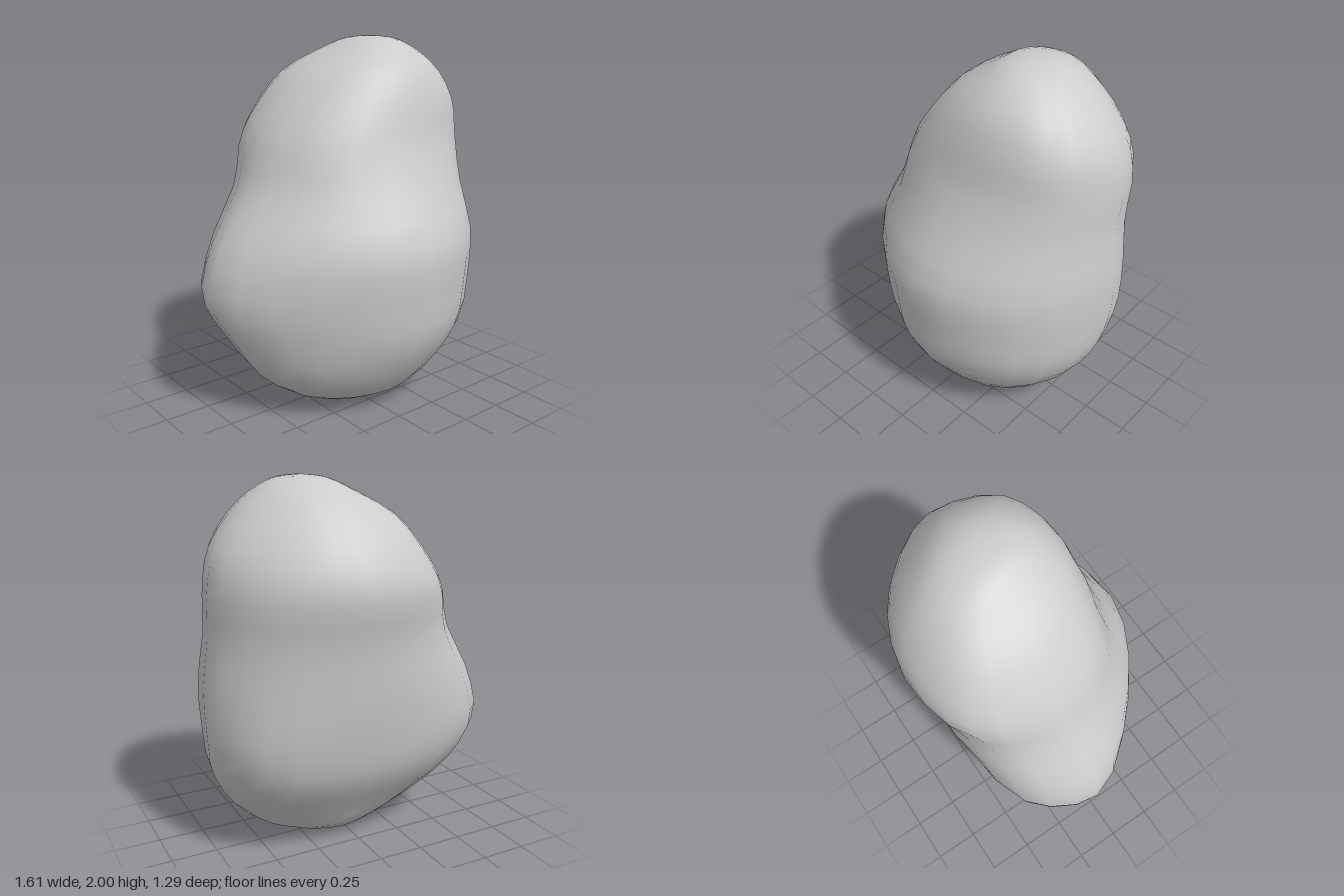
import * as THREE from 'three';

// Horizontal sections of the stone, bottom to top:
// y, xLeft, xRight, zFront, zBack, centre x, centre z,
// then fullness of the four corners (+x+z, -x+z, -x-z, +x-z)
const SECTIONS = [
  [0.015, -0.20, 0.14, 0.13, -0.08, 0.00, 0.02, 1, 1, 0.9, 0.95],
  [0.07, -0.35, 0.42, 0.34, -0.19, 0.05, 0.05, 1, 0.97, 0.9, 0.95],
  [0.23, -0.57, 0.62, 0.48, -0.30, 0.05, 0.03, 1, 0.94, 1.03, 1],
  [0.45, -0.71, 0.75, 0.60, -0.45, 0.05, 0.00, 1, 0.88, 1.1, 1.05],
  [0.67, -0.81, 0.79, 0.63, -0.51, 0.05, -0.06, 1.01, 0.88, 1.1, 1.05],
  [0.94, -0.74, 0.80, 0.645, -0.56, 0.06, -0.06, 1, 0.9, 1.05, 1],
  [1.22, -0.56, 0.77, 0.51, -0.59, 0.10, -0.07, 1.01, 0.96, 1.04, 0.98],
  [1.46, -0.46, 0.77, 0.41, -0.64, 0.13, -0.10, 1.04, 1.03, 1.07, 0.95],
  [1.64, -0.34, 0.73, 0.37, -0.58, 0.17, -0.10, 1.07, 1.02, 1.1, 0.92],
  [1.81, -0.18, 0.61, 0.31, -0.46, 0.21, -0.09, 1.08, 1, 1.16, 0.9],
  [1.93, 0.02, 0.48, 0.20, -0.32, 0.24, -0.08, 1.04, 1, 1.12, 0.93],
  [1.985, 0.12, 0.37, 0.10, -0.19, 0.25, -0.07, 1, 1, 1.05, 0.96],
];
const SIDES = 24, STEPS = 30;

// Smooth closed outline through the four extremes and four corners
function outline([y, xl, xr, zf, zb, cx, cz, ...full]) {
  const points = [];
  for (let i = 0; i < 8; i++) {
    const a = i * Math.PI / 4;
    const k = i % 2 ? full[(i - 1) / 2] : 1;
    const c = Math.cos(a) * k, s = Math.sin(a) * k;
    points.push(new THREE.Vector3(
      cx + c * (c > 0 ? xr - cx : cx - xl), y,
      cz + s * (s > 0 ? zf - cz : cz - zb)));
  }
  const curve = new THREE.CatmullRomCurve3(points, true);
  return Array.from({ length: SIDES }, (_, j) => curve.getPoint(j / SIDES));
}

function stoneGeometry() {
  const rings = SECTIONS.map(outline);
  const bottom = new THREE.Vector3(-0.02, 0, 0.03);
  const top = new THREE.Vector3(0.25, 2, -0.08);
  const columns = [];
  for (let j = 0; j < SIDES; j++) {
    columns.push(new THREE.CatmullRomCurve3([bottom, ...rings.map(r => r[j]), top]));
  }

  // Poles first, then the rings between them
  const positions = [...bottom.toArray(), ...top.toArray()];
  for (let i = 1; i < STEPS; i++) {
    for (const column of columns) {
      const p = column.getPoint(i / STEPS);
      positions.push(p.x, THREE.MathUtils.clamp(p.y, 0, 2), p.z);
    }
  }
  const id = (i, j) => 2 + i * SIDES + j % SIDES;
  const index = [];
  for (let j = 0; j < SIDES; j++) {
    index.push(0, id(0, j), id(0, j + 1));
    index.push(1, id(STEPS - 2, j + 1), id(STEPS - 2, j));
    for (let i = 0; i < STEPS - 2; i++) {
      index.push(id(i, j), id(i + 1, j), id(i, j + 1));
      index.push(id(i, j + 1), id(i + 1, j), id(i + 1, j + 1));
    }
  }
  const geometry = new THREE.BufferGeometry();
  geometry.setAttribute('position', new THREE.Float32BufferAttribute(positions, 3));
  geometry.setIndex(index);
  geometry.computeVertexNormals();
  return geometry;
}

export function createModel() {
  const group = new THREE.Group();
  group.name = 'rock';
  const stone = new THREE.Mesh(stoneGeometry(), new THREE.MeshStandardMaterial({ color: 0xcccccc }));
  stone.name = 'boulder';
  group.add(stone);
  return group;
}
